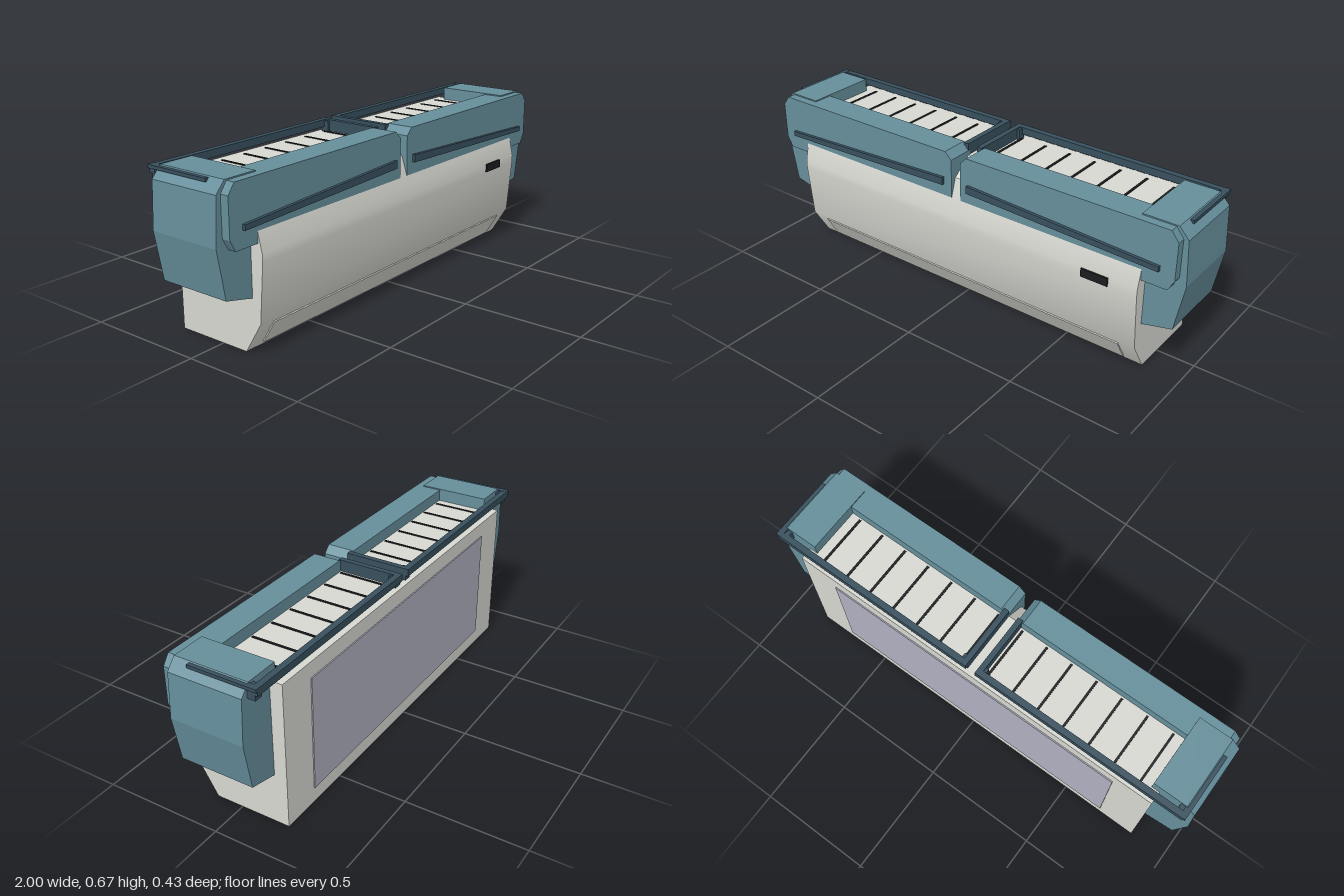
import * as THREE from 'three';
import { toCreasedNormals } from 'three/addons/utils/BufferGeometryUtils.js';

function material(name, color) {
  const m = new THREE.MeshStandardMaterial({ color });
  m.name = name;
  return m;
}

export function createModel() {
  const shell = material('warm white', 0xd8d8d2);
  const teal = material('teal', 0x668f9c);
  const navy = material('dark slate', 0x38505e);
  const black = material('black', 0x1a1c1e);
  const grey = material('back grey', 0xb0b0c0);

  const model = new THREE.Group();
  model.name = 'wallUnit';

  function add(name, geometry, mat) {
    const mesh = new THREE.Mesh(geometry, mat);
    mesh.name = name;
    model.add(mesh);
    return mesh;
  }

  // box given by its limits along each axis
  function box(name, mat, [x0, x1], [y0, y1], [z0, z1]) {
    const g = new THREE.BoxGeometry(Math.abs(x1 - x0), y1 - y0, z1 - z0);
    g.translate((x0 + x1) / 2, (y0 + y1) / 2, (z0 + z1) / 2);
    return add(name, g, mat);
  }

  // outline in x and y, extruded from z0 to z1; side mirrors it
  function slab(name, mat, side, points, z0, z1) {
    const shape = new THREE.Shape(points.map(([x, y]) => new THREE.Vector2(x * side, y)));
    const g = new THREE.ExtrudeGeometry(shape, { depth: z1 - z0, bevelEnabled: false });
    g.translate(0, 0, z0);
    return add(name, g, mat);
  }

  // main body: side profile (z, y) swept along x, softly curved front
  const profile = [
    [-0.21, 0], [0.115, 0], [0.19, 0.125], [0.209, 0.36], [0.209, 0.39],
    [0.19, 0.47], [0.165, 0.55], [0.08, 0.615], [-0.21, 0.615],
  ];
  const bodyShape = new THREE.Shape(profile.map(([z, y]) => new THREE.Vector2(-z, y)));
  const body = new THREE.ExtrudeGeometry(bodyShape, { depth: 1.68, bevelEnabled: false });
  body.rotateY(Math.PI / 2);
  body.translate(-0.84, 0, 0);
  add('body', toCreasedNormals(body, 0.52), shell);

  // outlet flap on the slanted lower front
  const flap = add('outletFlap', new THREE.BoxGeometry(1.53, 0.112, 0.01), shell);
  flap.position.set(0, 0.0625, 0.1525);
  flap.rotation.x = 0.54;

  box('display', black, [0.605, 0.72], [0.36, 0.395], [0.2, 0.215]);
  box('backPanel', grey, [-0.675, 0.675], [0.065, 0.55], [-0.215, -0.208]);

  for (const s of [1, -1]) {
    // end cover wrapping the side of the body
    slab('endCover', teal, s, [
      [0.8, 0.215], [0.84, 0.215], [0.965, 0.245], [1, 0.44],
      [0.99, 0.625], [0.95, 0.67], [0.805, 0.67],
    ], -0.157, 0.155);

    // front cover over the upper front edge
    slab('frontCover', teal, s, [
      [0.022, 0.47], [0.84, 0.47], [0.84, 0.425], [0.945, 0.425], [0.97, 0.47],
      [0.97, 0.625], [0.94, 0.665], [0.052, 0.665], [0.022, 0.635],
    ], 0.07, 0.19);

    // tapering trim on the front cover
    slab('frontTrim', navy, s, [
      [0.06, 0.52], [0.91, 0.492], [0.91, 0.513], [0.06, 0.552],
    ], 0.185, 0.203);

    // dark frame around the top opening
    box('rearRail', navy, [0.022 * s, 0.962 * s], [0.635, 0.665], [-0.202, -0.176]);
    box('innerRail', navy, [0.022 * s, 0.045 * s], [0.617, 0.665], [-0.19, 0.08]);
    box('sideRail', navy, [0.945 * s, 0.97 * s], [0.653, 0.666], [-0.202, 0.086]);
    for (const x of [0.022, 0.925]) {
      box('railHook', navy, [x * s, (x + 0.035) * s], [0.612, 0.66], [-0.19, -0.157]);
    }

    // thin slots across the intake
    for (let i = 0; i < 7; i++) {
      const x = 0.058 + i * 0.117;
      box('intakeSlot', black, [(x - 0.005) * s, (x + 0.005) * s], [0.611, 0.618], [-0.176, 0.062]);
    }
  }
  return model;
}
